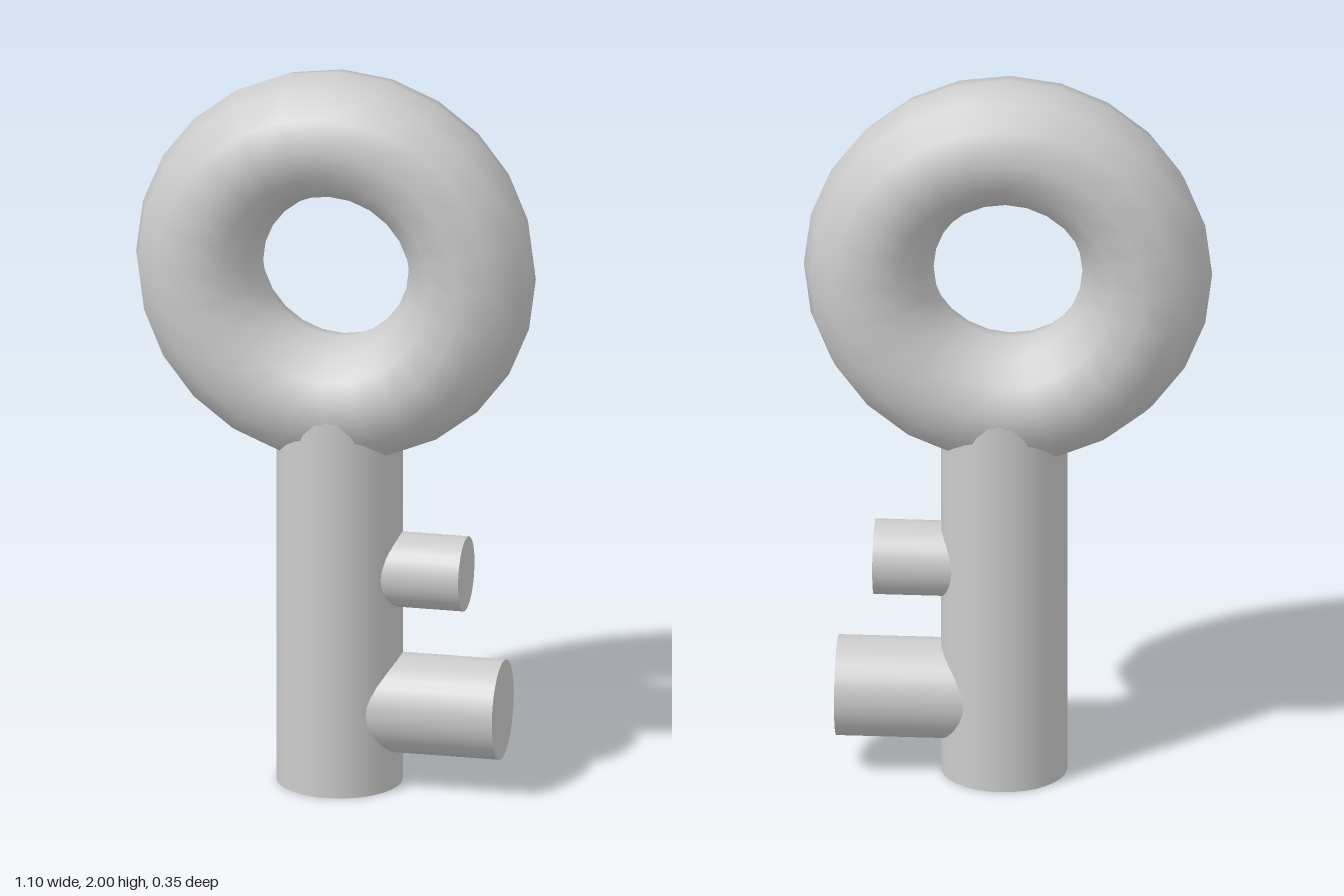
import * as THREE from 'three';

const material = new THREE.MeshStandardMaterial({ color: 0xcccccc });
const SHAFT_X = 0.01;

export function createModel() {
  const model = new THREE.Group();
  model.name = 'key';

  const add = (name, geometry, x, y) => {
    const mesh = new THREE.Mesh(geometry, material);
    mesh.name = name;
    mesh.position.set(x, y, 0);
    model.add(mesh);
  };

  // Ring-shaped handle
  add('bow', new THREE.TorusGeometry(0.3735, 0.174, 12, 24), 0, 1.4525);

  // Upright shaft, its top sunk into the ring
  const shaftHeight = 1.06;
  add('shaft', new THREE.CylinderGeometry(0.169, 0.169, shaftHeight, 32), SHAFT_X, shaftHeight / 2);

  // Round teeth, running from the shaft's axis out to +x
  const addTooth = (name, radius, y, endX) => {
    const length = endX - SHAFT_X;
    const geometry = new THREE.CylinderGeometry(radius, radius, length, 32).rotateZ(-Math.PI / 2);
    add(name, geometry, SHAFT_X + length / 2, y);
  };
  addTooth('upperTooth', 0.101, 0.604, 0.357);
  addTooth('lowerTooth', 0.135, 0.227, 0.457);

  return model;
}
